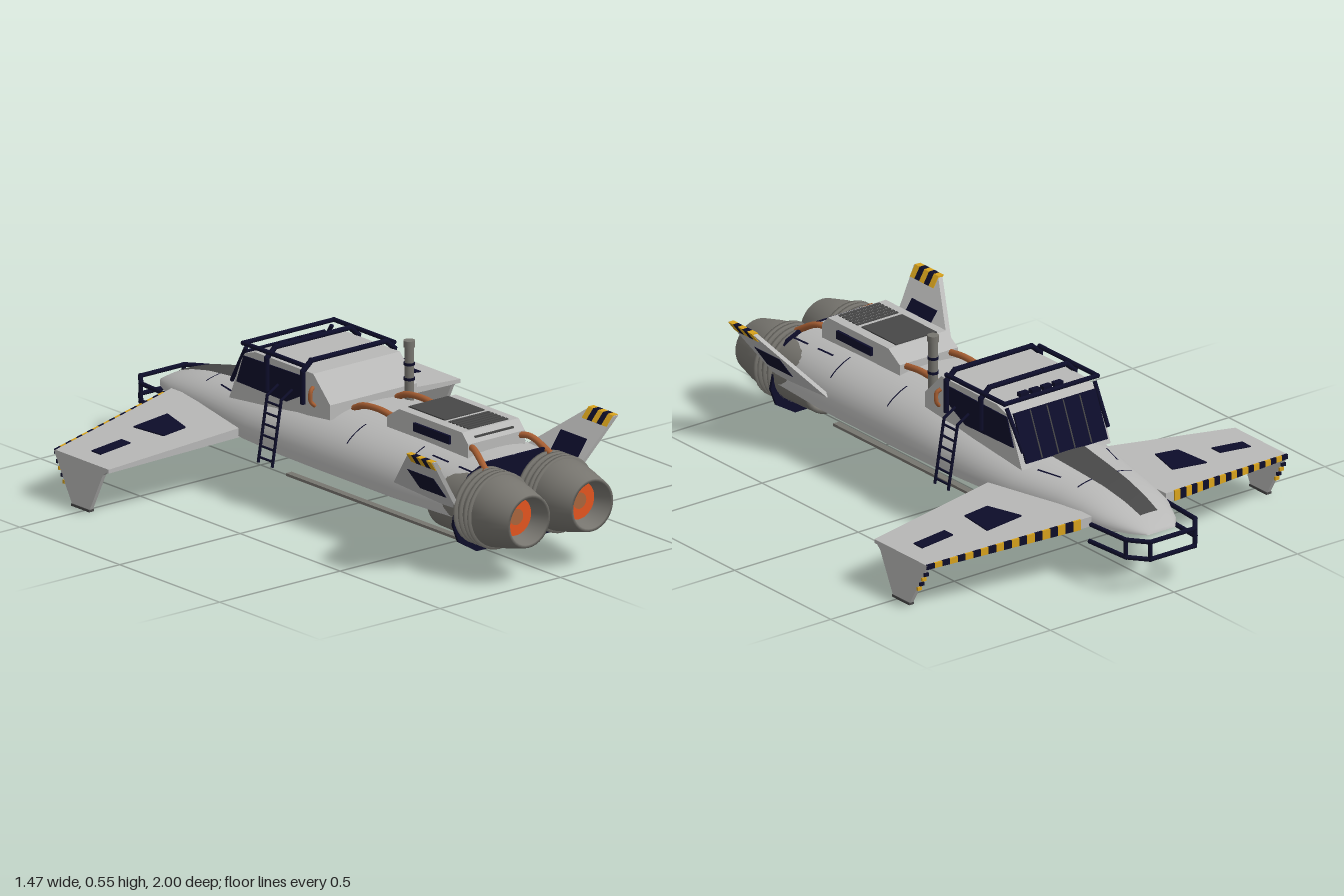
import * as THREE from 'three';

const mat = (name, color, side = THREE.FrontSide) => {
  const m = new THREE.MeshStandardMaterial({ color, side });
  m.name = name;
  return m;
};
const lerp = THREE.MathUtils.lerp;

export function createModel() {
  const ship = new THREE.Group();
  ship.name = 'spacecraft';
  const hullGrey = mat('hullGrey', 0xb8b8b7, THREE.DoubleSide);
  const navy = mat('navy', 0x0d0d2a);
  const darkGrey = mat('darkGrey', 0x474747);
  const nozzleGrey = mat('nozzleGrey', 0x77756f, THREE.DoubleSide);
  const glow = mat('glowOrange', 0xe2541f);
  const core = mat('glowCore', 0xa8643c);
  const copper = mat('copper', 0xa85f33);
  const yellow = mat('hazardYellow', 0xd9a31c);

  const add = (name, geo, m) => {
    const mesh = new THREE.Mesh(geo, m);
    mesh.name = name;
    ship.add(mesh);
    return mesh;
  };
  const box = (name, m, w, h, d, x, y, z) =>
    add(name, new THREE.BoxGeometry(w, h, d).translate(x, y, z), m);
  // straight bars along a list of points
  const bars = (name, m, r, pts) => {
    for (let i = 1; i < pts.length; i++) {
      const a = new THREE.Vector3(...pts[i - 1]), b = new THREE.Vector3(...pts[i]);
      const dir = b.clone().sub(a);
      const bar = add(name, new THREE.CylinderGeometry(r, r, dir.length() + r, 8), m);
      bar.quaternion.setFromUnitVectors(new THREE.Vector3(0, 1, 0), dir.normalize());
      bar.position.copy(a.add(b).multiplyScalar(0.5));
    }
  };
  const pipe = (name, m, r, pts) => add(name, new THREE.TubeGeometry(
    new THREE.CatmullRomCurve3(pts.map(p => new THREE.Vector3(...p))), 16, r, 8), m);
  // side profile of [z, y] points extruded across x
  const profile = (pts, width, x = 0) => {
    const shape = new THREE.Shape(pts.map(p => new THREE.Vector2(...p)));
    return new THREE.ExtrudeGeometry(shape, { depth: width, bevelEnabled: false })
      .rotateY(-Math.PI / 2).translate(x + width / 2, 0, 0);
  };
  // tapered slab between two chords [x, y, zFront, zRear, thickness]
  const slab = (name, m, s, a, b) => {
    const geo = new THREE.BoxGeometry(1, 1, 1), p = geo.attributes.position;
    for (let i = 0; i < p.count; i++) {
      const u = s * p.getX(i) + 0.5, w = p.getZ(i) + 0.5, c = a.map((k, j) => lerp(k, b[j], u));
      p.setXYZ(i, s * c[0], c[1] + p.getY(i) * c[4], lerp(c[2], c[3], w));
    }
    geo.computeVertexNormals();
    return add(name, geo, m);
  };

  // Fuselage: open-bottomed shell lofted through [z, halfWidth, topY]
  const stations = [[-0.935, 0.055, 0.19], [-0.93, 0.06, 0.2], [-0.89, 0.095, 0.222], [-0.8, 0.138, 0.253],
    [-0.7, 0.16, 0.275], [-0.6, 0.176, 0.287], [-0.42, 0.215, 0.305], [-0.3, 0.24, 0.325],
    [-0.1, 0.256, 0.35], [0.1, 0.26, 0.36], [0.48, 0.26, 0.36], [0.77, 0.24, 0.355]];
  const sill = 0.19, power = 2.4, arc = 28;
  const hullY = (x, z) => {
    let i = 1;
    while (i < stations.length - 1 && stations[i][0] < z) i++;
    const a = stations[i - 1], b = stations[i], t = (z - a[0]) / (b[0] - a[0]);
    const k = Math.min(1, Math.abs(x) / lerp(a[1], b[1], t));
    return sill + (lerp(a[2], b[2], t) - sill) * (1 - k ** power) ** (1 / power);
  };
  const pos = [], idx = [];
  stations.forEach(([z, w, top], i) => {
    for (let j = 0; j <= arc; j++) {
      const a = Math.PI * j / arc, c = Math.cos(a), sn = Math.max(0, Math.sin(a));
      pos.push(Math.sign(c) * w * Math.abs(c) ** (2 / power), sill + (top - sill) * sn ** (2 / power), z);
      if (i && j) {
        const q = i * (arc + 1) + j, r = q - arc - 1;
        idx.push(r - 1, r, q - 1, r, q, q - 1);
      }
    }
  });
  const shell = new THREE.BufferGeometry();
  shell.setAttribute('position', new THREE.Float32BufferAttribute(pos, 3));
  for (let i = 0; i < idx.length; i += 3) [idx[i + 1], idx[i + 2]] = [idx[i + 2], idx[i + 1]];
  shell.setIndex(idx);
  // outward order: the crown normal must point up
  shell.computeVertexNormals();
  if (shell.attributes.normal.getY(9 * (arc + 1) + arc / 2) < 0) {
    shell.setIndex(idx.reverse());
    shell.computeVertexNormals();
  }
  add('fuselage', shell, hullGrey);

  // Skin panels that follow the hull
  const skin = (name, m, x0, w0, z0, x1, w1, z1) => {
    const geo = new THREE.PlaneGeometry(1, 1, 8, 16).rotateX(-Math.PI / 2), p = geo.attributes.position;
    for (let i = 0; i < p.count; i++) {
      const t = p.getZ(i) + 0.5, z = lerp(z0, z1, t);
      const x = lerp(x0, x1, t) + p.getX(i) * 2 * lerp(w0, w1, t);
      p.setXYZ(i, x, hullY(x, z) + 0.004, z);
    }
    geo.computeVertexNormals();
    add(name, geo, m);
  };
  skin('nosePanel', darkGrey, 0, 0.035, -0.87, 0, 0.066, -0.45);
  for (const s of [-1, 1]) {
    for (const z of [0.2, 0.495]) skin('panelSeam', navy, s * 0.185, 0.04, z, s * 0.185, 0.04, z + 0.005);
    skin('panelSeam', navy, s * 0.08, 0.03, -0.642, s * 0.08, 0.03, -0.637);
    for (const z of [0.56, 0.69]) skin('panelSeam', navy, s * 0.165, 0.003, z, s * 0.165, 0.003, z + 0.08);
    skin('panelSeam', navy, s * 0.115, 0.003, -0.56, s * 0.14, 0.003, -0.47);
  }

  // Rear bulkhead, hold stripe and belly skids
  const half = [[0.16, 0.065], [0.235, 0.11], [0.258, 0.17], [0.24, 0.25], [0.19, 0.325], [0.12, 0.355]];
  const bulk = new THREE.Shape([...half, ...half.map(([x, y]) => [-x, y]).reverse()].map(p => new THREE.Vector2(...p)));
  add('rearBulkhead', new THREE.ExtrudeGeometry(bulk, { depth: 0.01, bevelEnabled: false }).translate(0, 0, 0.765), navy);
  for (let i = 0; i < 8; i++) box('holdStripe', i % 2 ? navy : yellow, 0.026, 0.008, 0.015, -0.091 + i * 0.026, 0.3, 0.24);
  for (const s of [-1, 1]) box('bellySkid', nozzleGrey, 0.024, 0.009, 0.85, s * 0.107, 0.061, 0.195);

  for (const s of [-1, 1]) {
    // Wing with panels, striped leading edge and drooped tip
    const lead = x => -0.765 + (x - 0.15) * 0.198, wy = x => 0.206 - (x - 0.15) * 0.079;
    const thick = x => 0.034 - (x - 0.15) * 0.036;
    slab('wing', hullGrey, s, [0.15, wy(0.15), lead(0.15), -0.322, 0.034], [0.73, wy(0.73), -0.65, -0.38, 0.013]);
    const decal = (a, b) => slab('wingPanel', navy, s, ...[a, b].map(([x, z0, z1]) =>
      [x, wy(x) + thick(x) / 2 + 0.001, z0, z1, 0.006]));
    decal([0.305, -0.6, -0.595], [0.34, -0.6, -0.465]);
    decal([0.34, -0.6, -0.465], [0.432, -0.6, -0.465]);
    decal([0.432, -0.6, -0.465], [0.445, -0.6, -0.595]);
    decal([0.54, -0.545, -0.5], [0.665, -0.545, -0.5]);
    for (let i = 0; i < 20; i++) {
      const c = [0.19 + i * 0.027, 0.217 + i * 0.027].map(x =>
        [x, wy(x), lead(x) - 0.004, lead(x) + 0.003, thick(x) + 0.003]);
      slab('wingStripe', i % 2 ? navy : yellow, s, ...c);
    }
    add('wingTip', profile([[-0.38, 0.165], [-0.41, 0.14], [-0.475, 0.008], [-0.565, 0.008], [-0.655, 0.165]], 0.014, s * 0.723), hullGrey);
    box('wingTipFoot', darkGrey, 0.02, 0.008, 0.09, s * 0.723, 0.004, -0.52);
    for (let i = 0; i < 4; i++) {
      const y = 0.07 + i * 0.02, z = -0.605 - i * 0.0115;
      box('tipStripe', i % 2 ? navy : yellow, 0.016, 0.012, 0.008, s * 0.723, y, z);
    }

    // Canted tail fin with panel and hazard tip
    const canted = (name, m, pts, width) => {
      const geo = profile(pts, width), p = geo.attributes.position;
      for (let i = 0; i < p.count; i++) p.setX(i, p.getX(i) + s * (0.247 + (p.getY(i) - 0.24) * 0.72));
      geo.computeVertexNormals();
      add(name, geo, m);
    };
    canted('tailFin', hullGrey, [[0.475, 0.242], [0.77, 0.215], [0.825, 0.42], [0.7, 0.42]], 0.017);
    canted('finPanel', navy, [[0.63, 0.265], [0.76, 0.265], [0.76, 0.34], [0.63, 0.34]], 0.022);
    for (let i = 0; i < 5; i++) {
      const z = 0.693 + i * 0.0245;
      canted('finStripe', i % 2 ? navy : yellow, [[z, 0.388], [z + 0.0245, 0.388], [z + 0.0285, 0.422], [z + 0.004, 0.422]], 0.022);
    }

    // Engine: drum, flange rings, nozzle and glowing throat
    const turned = (name, m, pts) => add(name, new THREE.LatheGeometry(
      pts.map(p => new THREE.Vector2(...p)), 36).rotateX(Math.PI / 2).translate(s * 0.131, 0.215, 0), m);
    turned('engineDrum', nozzleGrey, [[0.085, 0.66], [0.095, 0.62], [0.11, 0.62], [0.114, 0.77]]);
    turned('engineIntake', navy, [[0.095, 0.66], [0, 0.66]]).material.side = THREE.DoubleSide;
    turned('engineNozzle', nozzleGrey, [[0.116, 0.76], [0.119, 0.86], [0.108, 0.92], [0.088, 1], [0.078, 1], [0.062, 0.93]]);
    for (const z of [0.78, 0.805, 0.83, 0.85])
      turned('flangeRing', nozzleGrey, [[0.112, z - 0.005], [0.128, z - 0.005], [0.128, z + 0.005], [0.112, z + 0.005]]);
    add('engineGlow', new THREE.CircleGeometry(0.064, 36).translate(s * 0.131, 0.215, 0.935), glow);
    add('engineCore', new THREE.CircleGeometry(0.027, 24).translate(s * 0.131, 0.215, 0.939), core);

    // Boarding ladder
    for (const z of [-0.11, -0.18])
      bars('ladderRail', navy, 0.005, [[s * 0.195, 0.39, z], [s * 0.238, 0.365, z], [s * 0.275, 0.15, z]]);
    for (let i = 0; i < 6; i++) {
      const x = s * (0.241 + i * 0.0062), y = 0.345 - i * 0.036;
      bars('ladderRung', navy, 0.004, [[x, y, -0.11], [x, y, -0.18]]);
    }

    // Copper plumbing
    pipe('deckPipe', copper, 0.011, [[s * 0.09, 0.355, 0.075], [s * 0.09, 0.375, 0.12], [s * 0.09, 0.383, 0.2], [s * 0.09, 0.375, 0.28]]);
    pipe('enginePipe', copper, 0.011, [[s * 0.095, 0.375, 0.66], [s * 0.115, 0.378, 0.71], [s * 0.135, 0.335, 0.79]]);
    pipe('cabPipe', copper, 0.007, [[s * 0.18, 0.36, -0.01], [s * 0.194, 0.375, -0.015], [s * 0.194, 0.41, -0.015], [s * 0.18, 0.42, -0.02]]);

    // Nose guard sides
    bars('noseGuard', navy, 0.008, [[s * 0.152, 0.195, -0.76], [s * 0.14, 0.195, -0.93], [s * 0.09, 0.195, -0.992], [0, 0.195, -0.992]]);
    bars('noseGuard', navy, 0.008, [[s * 0.152, 0.135, -0.76], [s * 0.14, 0.135, -0.93], [s * 0.09, 0.135, -0.992], [0, 0.135, -0.992]]);
    for (const [x, z] of [[0.14, -0.93], [0.09, -0.992]])
      bars('noseGuardPost', navy, 0.007, [[s * x, 0.135, z], [s * x, 0.195, z]]);

    // Roll cage side bars and windshield posts
    bars('cageRail', navy, 0.008, [[s * 0.188, 0.485, -0.36], [s * 0.188, 0.485, -0.06]]);
    bars('windshieldPost', navy, 0.007, [[s * 0.172, 0.34, -0.435], [s * 0.178, 0.465, -0.36]]);
  }

  // Cab with windows
  add('cab', profile([[-0.44, 0.28], [-0.37, 0.445], [-0.31, 0.465], [-0.02, 0.465], [0.065, 0.38], [0.065, 0.33]], 0.36), hullGrey);
  add('sideWindows', profile([[-0.4, 0.345], [-0.365, 0.44], [-0.06, 0.445], [-0.06, 0.385], [-0.15, 0.34]], 0.368), navy);
  add('windshield', profile([[-0.438, 0.3], [-0.445, 0.3], [-0.38, 0.452], [-0.372, 0.45]], 0.33), navy);
  for (const x of [-0.1, -0.033, 0.033, 0.1])
    bars('windshieldMullion', darkGrey, 0.003, [[x, 0.305, -0.442], [x, 0.448, -0.38]]);
  for (const x of [-0.069, -0.023, 0.023, 0.069]) box('roofLamp', navy, 0.034, 0.018, 0.02, x, 0.47, -0.305);

  // Roll cage hoops
  for (const z of [-0.24, -0.06])
    bars('cageHoop', navy, 0.009, [[-0.19, 0.36, z], [-0.19, 0.465, z], [-0.155, 0.495, z],
      [0.155, 0.495, z], [0.19, 0.465, z], [0.19, 0.36, z]]);
  bars('cageFrontBar', navy, 0.008, [[-0.188, 0.485, -0.36], [0.188, 0.485, -0.36]]);

  // Exhaust stack
  add('exhaustStack', new THREE.CylinderGeometry(0.016, 0.016, 0.2, 16).translate(0.115, 0.445, 0.105), nozzleGrey);
  for (const y of [0.42, 0.47]) add('stackBand', new THREE.CylinderGeometry(0.018, 0.018, 0.009, 16).translate(0.115, y, 0.105), navy);
  add('stackCap', new THREE.CylinderGeometry(0.019, 0.019, 0.022, 16).translate(0.115, 0.537, 0.105), nozzleGrey);

  // Dorsal machinery housing
  add('dorsalHousing', profile([[0.275, 0.34], [0.275, 0.385], [0.335, 0.423], [0.65, 0.423], [0.68, 0.39], [0.68, 0.34]], 0.235), hullGrey);
  box('housingPanel', darkGrey, 0.165, 0.006, 0.18, 0, 0.424, 0.43);
  for (let i = 0; i < 6; i++) box('louvre', darkGrey, 0.165, 0.006, 0.01, 0, 0.424, 0.545 + i * 0.018);
  for (const s of [-1, 1]) box('sideVent', navy, 0.012, 0.028, 0.18, s * 0.121, 0.385, 0.505);
  box('rearSlot', darkGrey, 0.16, 0.006, 0.006, 0, 0.405, 0.667);
  return ship;
}
